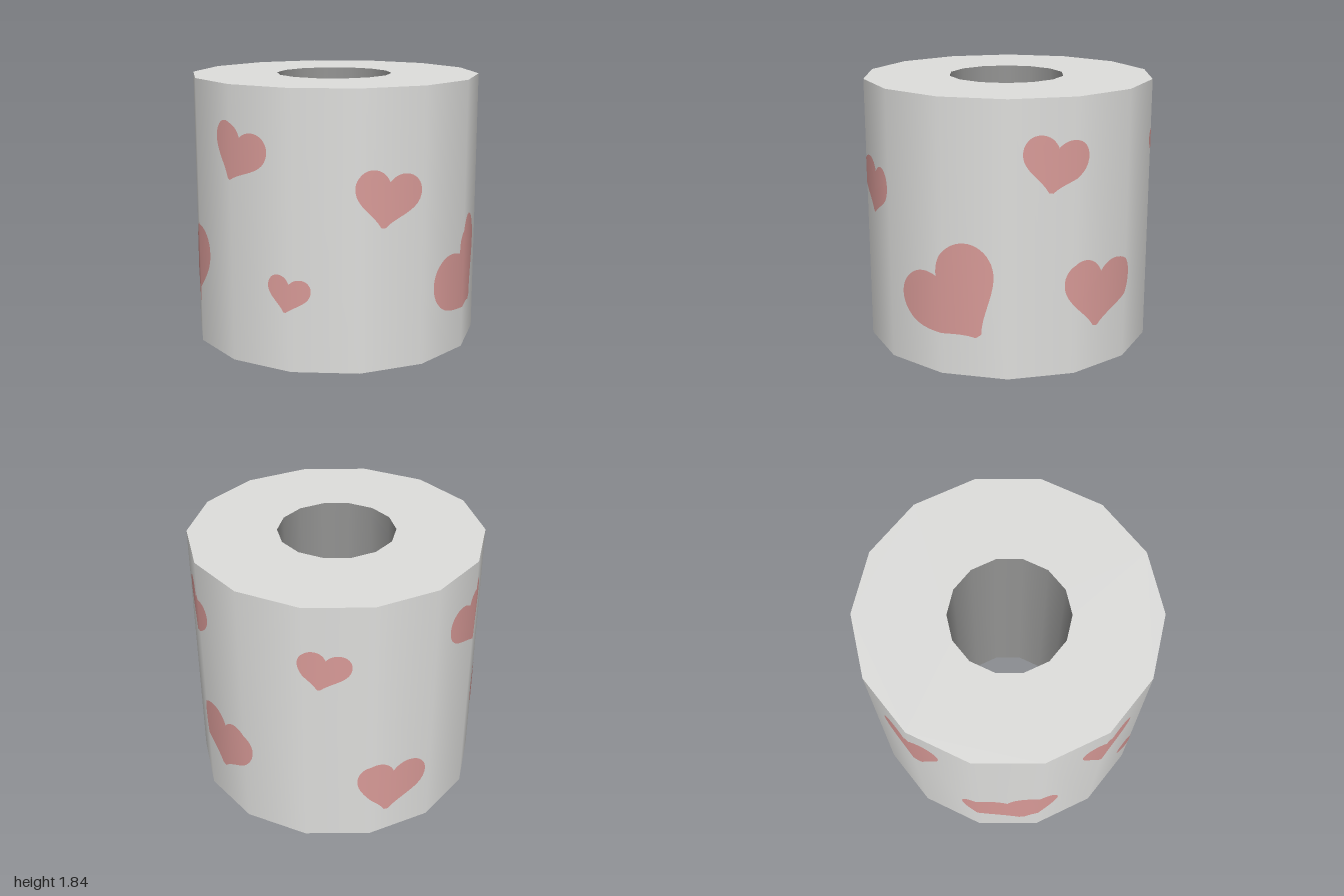
import * as THREE from 'three';

const SIDES = 14, R = 1, HOLE = 0.4, H = 1.84;
const LEAN = 0.008;                         // sideways shift of the core hole at the top
const STEP = (Math.PI * 2) / SIDES;
const FACET = 2 * R * Math.sin(STEP / 2);   // width of one flat side
const LIFT = 1.0015;                        // hearts sit just proud of the wall
const DEG = Math.PI / 180;

// Smooth-shaded wall; an upward profile faces outward, a downward one inward
function wall(r, y0, y1) {
  return new THREE.LatheGeometry([new THREE.Vector2(r, y0), new THREE.Vector2(r, y1)], SIDES, Math.PI / 2);
}

function ngon(r, cx = 0, cy = 0) {
  return Array.from({ length: SIDES }, (_, i) =>
    new THREE.Vector2(cx + r * Math.cos(i * STEP), cy + r * Math.sin(i * STEP)));
}

// Flat end ring, facing +z until it is turned
function endRing(cx, cy) {
  const shape = new THREE.Shape(ngon(R));
  shape.holes.push(new THREE.Path(ngon(HOLE, cx, cy)));
  return new THREE.ShapeGeometry(shape);
}

// Heart outline of unit width with its notch at the origin and a blunt tip
function heartOutline() {
  const s = new THREE.Shape();
  s.moveTo(0, 0);
  s.bezierCurveTo(0.05, 0.08, 0.13, 0.145, 0.25, 0.145);
  s.bezierCurveTo(0.4, 0.145, 0.5, 0.03, 0.5, -0.11);
  s.bezierCurveTo(0.5, -0.37, 0.17, -0.46, 0.03, -0.645);
  s.lineTo(-0.03, -0.645);
  s.bezierCurveTo(-0.17, -0.46, -0.5, -0.37, -0.5, -0.11);
  s.bezierCurveTo(-0.5, 0.03, -0.4, 0.145, -0.25, 0.145);
  s.bezierCurveTo(-0.13, 0.145, -0.05, 0.08, 0, 0);
  const pts = s.getPoints(10);
  pts.pop();
  return pts;
}

// Keep the part of a polygon where sign * (x - limit) >= 0
function clip(poly, limit, sign) {
  const out = [];
  poly.forEach((a, i) => {
    const b = poly[(i + 1) % poly.length];
    const da = sign * (a.x - limit), db = sign * (b.x - limit);
    if (da >= 0) out.push(a);
    if (da * db < 0) out.push(a.clone().lerp(b, da / (da - db)));
  });
  return out;
}

// Wrap a heart round the many-sided wall, one piece per flat side
function heartGeometry(angle, y, width, tilt) {
  const centre = new THREE.Vector2(((angle - 90) * DEG / STEP) * FACET, y);
  const poly = heartOutline().map((p) =>
    p.clone().multiplyScalar(width).rotateAround(new THREE.Vector2(), tilt * DEG).add(centre));
  const xs = poly.map((p) => p.x);
  const first = Math.floor(Math.min(...xs) / FACET), last = Math.floor(Math.max(...xs) / FACET);
  const pos = [], nor = [], idx = [];
  for (let k = first; k <= last; k++) {
    const piece = clip(clip(poly, k * FACET, 1), (k + 1) * FACET, -1);
    if (piece.length < 3) continue;
    if (THREE.ShapeUtils.isClockWise(piece)) piece.reverse();
    const base = pos.length / 3;
    const a0 = Math.PI / 2 + k * STEP, a1 = a0 + STEP;
    for (const p of piece) {
      const t = p.x / FACET - k, a = a0 + t * STEP;
      pos.push(LIFT * R * THREE.MathUtils.lerp(Math.sin(a0), Math.sin(a1), t), p.y,
        LIFT * R * THREE.MathUtils.lerp(Math.cos(a0), Math.cos(a1), t));
      nor.push(Math.sin(a), 0, Math.cos(a));
    }
    for (const f of THREE.ShapeUtils.triangulateShape(piece, [])) idx.push(...f.map((i) => i + base));
  }
  const g = new THREE.BufferGeometry();
  g.setAttribute('position', new THREE.Float32BufferAttribute(pos, 3));
  g.setAttribute('normal', new THREE.Float32BufferAttribute(nor, 3));
  g.setIndex(idx);
  return g;
}

export function createModel() {
  const group = new THREE.Group();
  group.name = 'paperRoll';
  const material = (name, color) => {
    const m = new THREE.MeshStandardMaterial({ color });
    m.name = name;
    return m;
  };
  const paper = material('paper white', 0xdededc);
  const cardboard = material('core grey', 0x939392);
  const pink = material('heart pink', 0xd89a97);
  const add = (name, geometry, mat) => {
    const mesh = new THREE.Mesh(geometry, mat);
    mesh.name = name;
    group.add(mesh);
  };

  // Roll: outer wall, slightly leaning core hole, two end rings
  add('outerWall', wall(R, 0, H), paper);
  const core = wall(HOLE, H, 0), p = core.attributes.position;
  for (let i = 0; i < p.count; i++) {
    if (p.getY(i) > H / 2) p.setXYZ(i, p.getX(i) - LEAN, H, p.getZ(i) + LEAN);
  }
  add('coreHole', core, cardboard);
  add('topRing', endRing(-LEAN, -LEAN).rotateX(-Math.PI / 2).translate(0, H, 0), paper);
  add('bottomRing', endRing(0, 0).rotateX(Math.PI / 2), paper);

  // Hearts: angle from the front towards +x, notch height, width, tilt
  const hearts = [
    [-1.2, 1.245, 0.46, -9],
    [-39.3, 0.588, 0.3, -10],
    [36.3, 0.67, 0.75, 37],
    [-60, 1.505, 0.45, -18],
    [83.2, 1.523, 0.45, -10],
    [103, 0.665, 0.58, -7],
    [150, 1.455, 0.35, -12],
    [177, 0.505, 0.51, -9],
    [215, 1.54, 0.5, 21],
    [257, 0.7, 0.72, 13],
  ];
  hearts.forEach((h, i) => add(`heart${i + 1}`, heartGeometry(...h), pink));
  return group;
}
